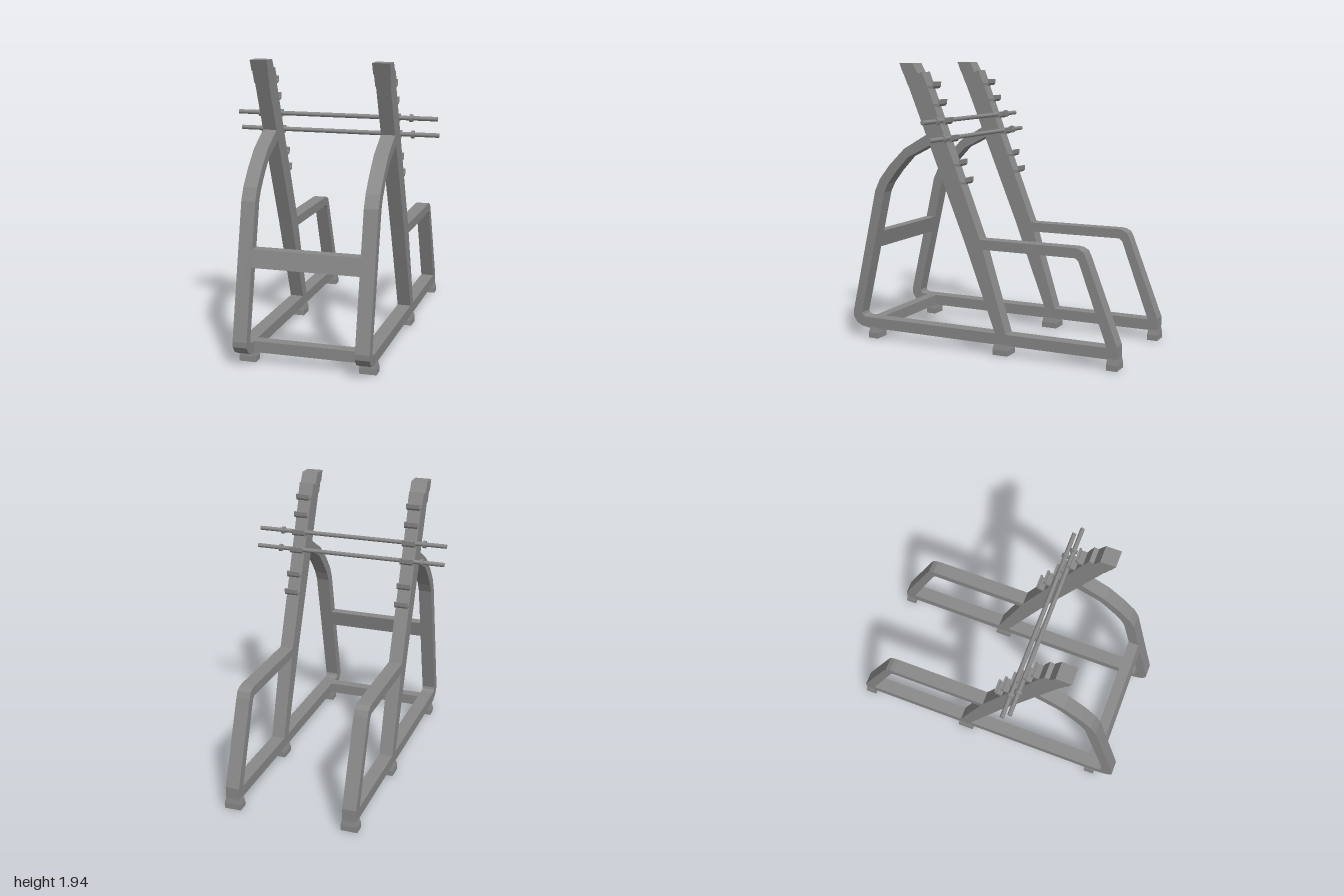
import * as THREE from 'three';

const steel = new THREE.MeshStandardMaterial({ color: 0x888888 });
steel.name = 'grey steel';

const SIDES = [['right', -0.427], ['left', 0.385]];
const TUBE = 0.095;

function add(parent, name, geometry, x = 0, y = 0, z = 0) {
  const mesh = new THREE.Mesh(geometry, steel);
  mesh.name = name;
  mesh.position.set(x, y, z);
  parent.add(mesh);
  return mesh;
}

// Side profile given as [z, y] points, extruded across x and centred on x = 0
function profile(points, width) {
  const shape = new THREE.Shape(points.map(([z, y]) => new THREE.Vector2(z, y)));
  const g = new THREE.ExtrudeGeometry(shape, { depth: width, bevelEnabled: false });
  return g.translate(0, 0, -width / 2).rotateY(-Math.PI / 2);
}

// Rear edge of the upright at a given height
const rearEdge = (y) => -0.02 + (y - 0.767) * 0.387;

const HOOP = [
  [0.36, 1.472], [0.56, 1.357], [0.68, 1.24], [0.76, 1.14], [0.80, 1.056],
  [1.0, 0.177], [0.998, 0.14], [0.97, 0.1], [0.93, 0.078], [0.88, 0.07],
  [0.88, 0.145], [0.905, 0.147], [0.925, 0.158], [0.93, 0.175],
  [0.727, 1.046], [0.695, 1.11], [0.625, 1.2], [0.53, 1.3], [0.335, 1.398],
];
const UPRIGHT = [
  [-0.13, 0.145], [0.105, 0.767], [0.582, 1.935], [0.48, 1.935],
  [0.44, 1.866], [0.41, 1.877], [-0.02, 0.767], [-0.21, 0.145],
];
const REAR_LEG = [
  [-0.01, 0.772], [-0.69, 0.772], [-0.725, 0.768], [-0.76, 0.75], [-0.78, 0.71],
  [-0.995, 0.155], [-0.995, 0.07], [-0.92, 0.07], [-0.925, 0.145],
  [-0.727, 0.686], [-0.735, 0.695], [-0.705, 0.706], [0.0, 0.706],
].filter((p) => p[0] !== -0.735);

// J-shaped bar holder, starting at the upright and turning up at the back
const HOOK = [
  [0.02, 0.008], [-0.028, 0.008], [-0.035, 0.015], [-0.037, 0.038],
  [-0.052, 0.038], [-0.05, 0.008], [-0.04, -0.005], [-0.028, -0.009], [0.02, -0.009],
];
const HOOK_HEIGHTS = [1.775, 1.658, 1.538, 1.422, 1.262, 1.144];

// Foot block with a narrower top
function footGeometry(depth) {
  const g = new THREE.BoxGeometry(0.115, 0.075, depth, 1, 2, 1);
  const p = g.attributes.position;
  for (let i = 0; i < p.count; i++) {
    if (p.getY(i) > 0.03) {
      p.setX(i, p.getX(i) * 0.84);
      p.setZ(i, p.getZ(i) * 0.86);
    }
  }
  const flat = g.toNonIndexed();
  flat.computeVertexNormals();
  return flat;
}

function sideFrame(side, x) {
  const frame = new THREE.Group();
  frame.name = side + 'SideFrame';
  frame.position.x = x;

  add(frame, 'frontHoop', profile(HOOP, TUBE));
  add(frame, 'upright', profile(UPRIGHT, TUBE));
  add(frame, 'rearLeg', profile(REAR_LEG, TUBE));
  add(frame, 'baseRail', new THREE.BoxGeometry(TUBE, 0.075, 1.8), 0, 0.1075, -0.02);

  // Wider sleeve and cap at the top of the upright
  add(frame, 'topSleeve', profile([[0.521, 1.785], [0.555, 1.868], [0.44, 1.866], [0.41, 1.877], [0.38, 1.8]], 0.105));
  add(frame, 'topCap', profile([[0.553, 1.862], [0.583, 1.936], [0.479, 1.936], [0.44, 1.864]], 0.115));

  // Bar holders up the rear face
  const hook = profile(HOOK, 0.092);
  for (const y of HOOK_HEIGHTS) add(frame, 'barHook', hook, 0, y, rearEdge(y));

  // Feet: front, middle, rear
  for (const [name, z, depth] of [['frontFoot', 0.83, 0.075], ['middleFoot', -0.172, 0.112], ['rearFoot', -0.963, 0.074]]) {
    add(frame, name, footGeometry(depth), 0, 0.0375, z);
  }
  return frame;
}

function barbell(y, z) {
  const bar = new THREE.Group();
  bar.name = 'bar';
  bar.position.set(0, y, z);
  const shaft = new THREE.CylinderGeometry(0.015, 0.015, 1.375, 12).rotateZ(Math.PI / 2);
  const collar = new THREE.CylinderGeometry(0.026, 0.026, 0.02, 12).rotateZ(Math.PI / 2);
  add(bar, 'barShaft', shaft, -0.0025);
  for (const x of [-0.535, 0.51]) add(bar, 'barCollar', collar, x);
  return bar;
}

export function createModel() {
  const model = new THREE.Group();
  model.name = 'squatRack';

  for (const [side, x] of SIDES) model.add(sideFrame(side, x));

  // Cross members between the two side frames
  const mid = (SIDES[0][1] + SIDES[1][1]) / 2;
  const span = SIDES[1][1] - SIDES[0][1] - TUBE;
  add(model, 'upperCrossbar', profile([[0.867, 0.76], [0.893, 0.645], [0.82, 0.645], [0.793, 0.76]], span), mid);
  add(model, 'lowerCrossbar', new THREE.BoxGeometry(span, 0.075, 0.075), mid, 0.1075, 0.83);

  // Two bars resting in the hooks
  model.add(barbell(1.555, 0.265), barbell(1.44, 0.213));
  return model;
}
